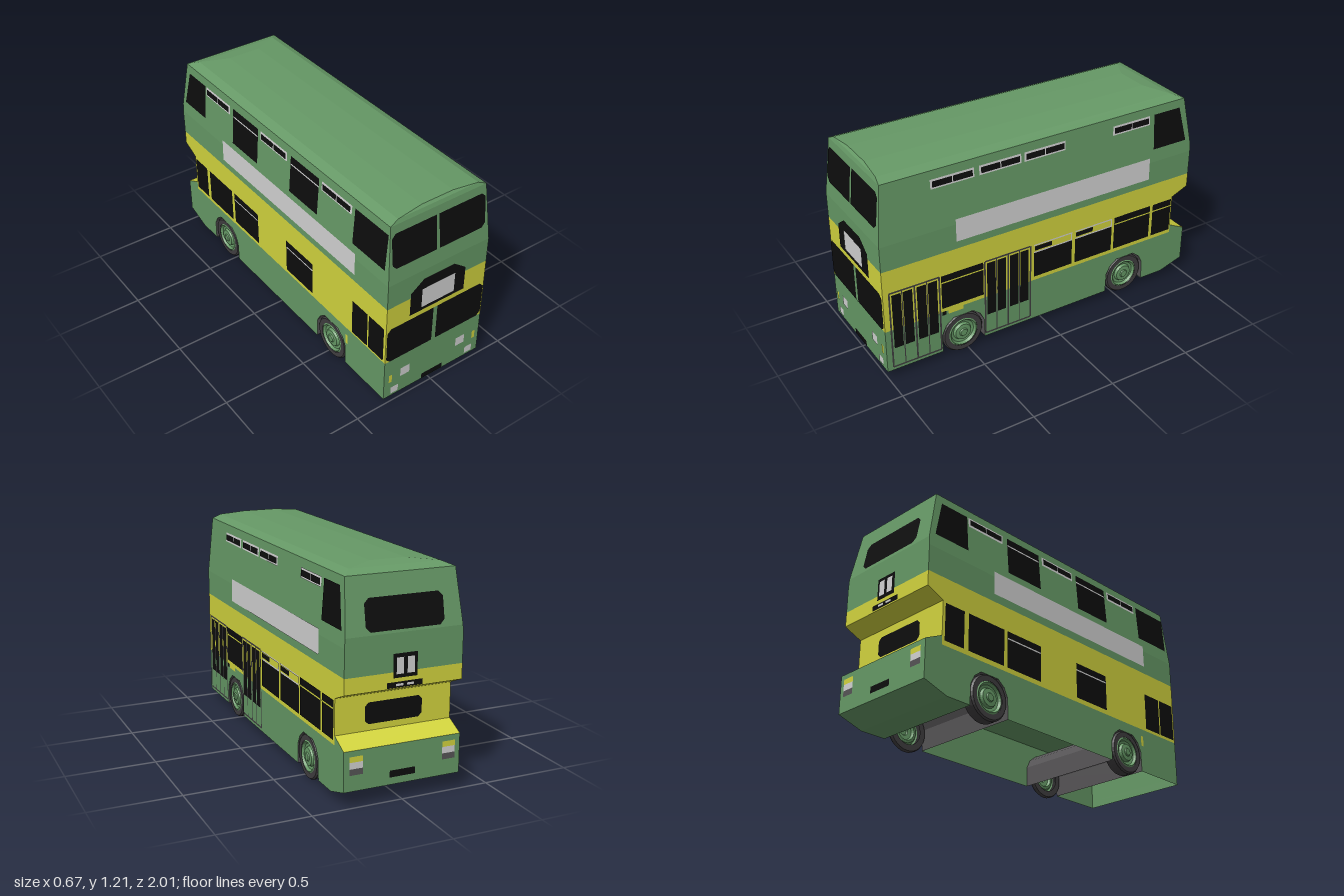
import * as THREE from 'three';

const mat = (name, color) => {
  const m = new THREE.MeshStandardMaterial({ color, side: THREE.DoubleSide });
  m.name = name;
  return m;
};

export function createModel() {
  const green = mat('body green', 0x669966), yellow = mat('band yellow', 0xd2d43e);
  const black = mat('glass black', 0x0d0d0d), white = mat('pale grey', 0xd2d2d2);
  const tyreGrey = mat('tyre grey', 0x403e40), liner = mat('arch grey', 0x565456);
  const bus = new THREE.Group();
  bus.name = 'doubleDeckerBus';

  const add = (name, geo, m, parent = bus) => {
    const mesh = new THREE.Mesh(geo, m);
    mesh.name = name;
    parent.add(mesh);
    return mesh;
  };

  // Quads as flat-shaded triangles
  const quads = (list) => {
    const p = [];
    for (const [a, b, c, d] of list) p.push(...a, ...b, ...c, ...a, ...c, ...d);
    const g = new THREE.BufferGeometry();
    g.setAttribute('position', new THREE.Float32BufferAttribute(p, 3));
    g.computeVertexNormals();
    return g;
  };

  // Horizontal rings [y, halfWidth, zFront, zRear]; faces: 0 left, 1 rear, 2 right, 3 front
  const corner = ([y, w, f, r], i) => [[w, y, f], [w, y, r], [-w, y, r], [-w, y, f]][i % 4];
  const band = (name, rings, m, faces = [0, 1, 2, 3]) => {
    const list = [];
    for (let k = 0; k < rings.length - 1; k++)
      for (const i of faces)
        list.push([corner(rings[k], i), corner(rings[k], i + 1), corner(rings[k + 1], i + 1), corner(rings[k + 1], i)]);
    return add(name, quads(list), m);
  };
  const level = (name, y, w, f, r, m) =>
    add(name, quads([[[w, y, f], [w, y, r], [-w, y, r], [-w, y, f]]]), m);

  // Body shell
  const W = 0.33;
  band('lowerEnds', [[0.042, W, 1, -0.85], [0.09, W, 1, -1], [0.305, W, 1, -1]], green, [1, 3]);
  band('rearLedge', [[0.305, W, 1, -1], [0.355, W, 1, -0.895]], yellow, [1]);
  band('yellowBand', [[0.305, W, 1, -0.895], [0.55, W, 1, -0.895], [0.595, W, 1, -1], [0.68, W, 1, -1]], yellow);
  band('upperDeck', [[0.68, W, 1, -1], [0.83, W, 1, -1], [0.88, 0.3263, 0.995, -1], [1.17, 0.305, 0.965, -0.945]], green);
  const top = [1.205, 0.1, 0.945, -0.8];
  band('roofEdge', [[1.17, 0.305, 0.965, -0.945], [1.192, 0.255, 0.957, -0.885], top], green);
  level('roof', ...top, green);
  level('floor', 0.305, W, 1, -0.895, green);
  level('rearUnderside', 0.042, W, -0.695, -0.85, green);

  // Lower side panels with wheel arch cut-outs, and liners across the width
  const axles = [0.53, -0.565];
  const arch = (z) => [[0.133, 0.042], [0.13, 0.16], [0.105, 0.21], [0.06, 0.245],
    [-0.06, 0.245], [-0.105, 0.21], [-0.13, 0.16], [-0.133, 0.042]].map(([d, y]) => [z + d, y]);
  const outline = [[1, 0.042], ...axles.flatMap(arch), [-0.85, 0.042], [-1, 0.09], [-1, 0.305], [-0.895, 0.355], [-0.895, 0.305], [1, 0.305]];
  for (const z of axles) {
    const a = arch(z);
    add('wheelArchLiner', quads(a.slice(1).map(([z1, y1], i) => {
      const [z0, y0] = a[i];
      return [[-W, y0, z0], [W, y0, z0], [W, y1, z1], [-W, y1, z1]];
    })), liner);
  }

  // Thin plates that follow the body faces; (u, y) is (x, y) on the ends and (z, y) on the sides
  const slope = (y, y0, a, b) => a + (b - a) * Math.max(0, (y - y0) / (1.17 - y0));
  const faces = {
    front: (u, y, o) => [u, y, slope(y, 0.83, 1, 0.965) + o],
    rear: (u, y, o) => [u, y, -slope(y, 0.88, 1, 0.945) - o],
    recess: (u, y, o) => [u, y, -0.895 - o],
    left: (u, y, o) => [slope(y, 0.83, W, 0.305) + o, y, u],
    right: (u, y, o) => [-slope(y, 0.83, W, 0.305) - o, y, u],
  };
  const plate = (name, face, pts, m, o = 0.003) => {
    const g = new THREE.ShapeGeometry(new THREE.Shape(pts.map((p) => new THREE.Vector2(...p))));
    const pos = g.attributes.position;
    for (let i = 0; i < pos.count; i++) pos.setXYZ(i, ...faces[face](pos.getX(i), pos.getY(i), o));
    if (face !== 'front' && face !== 'right') g.index.array.reverse();
    g.computeVertexNormals();
    return add(name, g, m);
  };
  const rect = (a, b, c, d, k = 0) => k
    ? [[a + k, c], [b - k, c], [b, c + k], [b, d - k], [b - k, d], [a + k, d], [a, d - k], [a, c + k]]
    : [[a, c], [b, c], [b, d], [a, d]];
  const box = (name, face, a, b, c, d, m, o) => plate(name, face, rect(a, b, c, d), m, o);
  for (const f of ['left', 'right']) plate('lowerSide', f, outline, green, 0);

  // Front: windscreens, destination box, lamps
  const screen = (a, b, c, d, k, s) => s < 0
    ? [[a + k, c], [b, c], [b, d], [a + k, d], [a, d - k], [a, c + k]]
    : [[a, c], [b - k, c], [b, c + k], [b, d - k], [b - k, d], [a, d]];
  plate('upperWindscreen', 'front', screen(-0.302, -0.021, 0.92, 1.124, 0.024, -1), black);
  plate('upperWindscreen', 'front', screen(-0.004, 0.298, 0.92, 1.124, 0.024, 1), black);
  plate('lowerWindscreen', 'front', screen(-0.325, -0.021, 0.308, 0.537, 0.024, -1), black);
  plate('lowerWindscreen', 'front', screen(0.005, 0.322, 0.308, 0.537, 0.024, 1), black);
  box('windscreenPillar', 'front', -0.021, 0.005, 0.305, 0.537, green);
  plate('destinationBox', 'front', [[-0.183, 0.565], [0.18, 0.565], [0.18, 0.712], [0.1, 0.773], [-0.1, 0.773], [-0.183, 0.712]], black);
  box('destinationBlind', 'front', -0.11, 0.108, 0.588, 0.71, white, 0.006);
  for (const s of [-1, 1]) {
    box('headlamp', 'front', s * 0.192 - 0.031, s * 0.192 + 0.031, 0.155, 0.212, white);
    box('fogLamp', 'front', s * 0.26 - 0.025, s * 0.26 + 0.025, 0.06, 0.105, white);
    box('indicator', 'front', s * 0.29 - 0.01, s * 0.29 + 0.01, 0.148, 0.2, yellow);
  }
  box('frontPlate', 'front', -0.072, 0.072, 0.048, 0.082, black);

  // Rear: windows, number box, lamp clusters
  plate('upperRearWindow', 'rear', rect(-0.22, 0.215, 0.895, 1.06, 0.025), black);
  box('rearNumberBox', 'rear', -0.07, 0.065, 0.65, 0.775, black);
  for (const u of [-0.033, 0.028]) box('rearNumberBlind', 'rear', u - 0.02, u + 0.02, 0.67, 0.755, white, 0.006);
  box('rearLampStrip', 'rear', -0.1, 0.1, 0.6, 0.63, black);
  for (const u of [-0.03, 0.03]) box('plateLamp', 'rear', u - 0.02, u + 0.02, 0.609, 0.621, white, 0.006);
  plate('lowerRearWindow', 'recess', rect(-0.16, 0.165, 0.39, 0.505, 0.02), black);
  for (const s of [-1, 1]) {
    const a = s * 0.263 - 0.037, b = a + 0.074;
    box('rearIndicator', 'rear', a, b, 0.245, 0.275, yellow);
    box('rearLamp', 'rear', a, b, 0.21, 0.245, white);
    box('rearReflector', 'rear', a, b, 0.177, 0.21, liner);
  }
  box('rearPlate', 'rear', -0.07, 0.075, 0.13, 0.167, black);

  // Side windows
  const barred = (f, a, b, m, y0 = 0.33, y1 = 0.54, bar = 0.497) => {
    box('sideWindow', f, a, b, y0, y1, black);
    box('windowBar', f, a, b, bar - 0.004, bar + 0.004, m, 0.005);
  };
  const vent = (f, a, b) => {
    const mid = (a + b) / 2;
    box('ventFrame', f, a, b, 1.068, 1.122, white);
    box('ventPane', f, a + 0.01, mid - 0.003, 1.078, 1.112, black, 0.006);
    box('ventPane', f, mid + 0.003, b - 0.01, 1.078, 1.112, black, 0.006);
  };
  for (const f of ['left', 'right'])
    plate('upperQuarterWindow', f, [[-0.96, 0.91], [-0.73, 0.91], [-0.73, 1.122], [-0.91, 1.122]], black);

  // Left side, with doors
  box('sidePanel', 'left', -0.705, 0.56, 0.725, 0.86, white);
  for (const [a, b] of [[0.435, 0.69], [0.15, 0.405], [-0.13, 0.13], [-0.7, -0.445]]) vent('left', a, b);
  barred('left', 0.402, 0.66, yellow);
  barred('left', -0.73, -0.472, yellow);
  barred('left', -0.885, -0.75, yellow);
  for (const b of [0.077, -0.2]) {
    const a = b - 0.255;
    box('sideWindow', 'left', a, b, 0.33, 0.487, black);
    box('ventPane', 'left', b - 0.12, b - 0.005, 0.502, 0.53, black);
    box('ventRail', 'left', a, b, 0.487, 0.495, white);
    box('ventRail', 'left', a, b, 0.533, 0.541, white);
    box('ventEnd', 'left', a, a + 0.008, 0.487, 0.541, white);
  }
  for (const b of [0.965, 0.392]) {
    const a = b - 0.293, t = 0.01, leaf = 0.293 / 4;
    for (let i = 0; i < 5; i++) {
      const z = a + i * leaf, w = i % 2 ? 0.003 : t / 2;
      box('doorUpright', 'left', z - w, z + w, 0.065, 0.54, tyreGrey);
      if (i < 4) box('doorWindow', 'left', z + (i % 2 ? 0.006 : 0.013), z + leaf - (i % 2 ? 0.013 : 0.006), 0.185, 0.525, black);
    }
    for (const y of [0.065, 0.54]) box('doorRail', 'left', a, b, y - t / 2, y + t / 2, tyreGrey);
  }
  box('doorControl', 'left', 0.635, 0.66, 0.285, 0.31, black);
  box('sideIndicator', 'left', 0.53, 0.622, 0.285, 0.31, yellow);

  // Right side
  box('sidePanel', 'right', -0.54, 0.73, 0.725, 0.86, white);
  for (const [a, b] of [[-0.72, -0.465], [-0.15, 0.105], [0.42, 0.675]]) vent('right', a, b);
  for (const a of [-0.43, 0.14]) barred('right', a, a + 0.255, white, 0.9, 1.122, 1.075);
  box('upperFrontWindow', 'right', 0.7, 0.962, 0.91, 1.122, black);
  box('sideWindow', 'right', -0.88, -0.75, 0.33, 0.54, black);
  box('sideWindow', 'right', -0.72, -0.465, 0.33, 0.54, black);
  barred('right', -0.44, -0.185, white);
  barred('right', 0.105, 0.36, white);
  box('cabWindow', 'right', 0.72, 0.85, 0.32, 0.54, black);
  box('cabWindow', 'right', 0.86, 0.985, 0.32, 0.54, black);
  box('sideIndicator', 'right', 0.665, 0.685, 0.2, 0.26, yellow);

  // Wheels: lathed about their axle, outer face pointing outwards
  const lathe = (pts) => new THREE.LatheGeometry(pts.map((p) => new THREE.Vector2(...p)), 32).toNonIndexed();
  const flat = (g) => (g.computeVertexNormals(), g);
  const rim = flat(lathe([[0.088, -0.003], [0.08, 0.002], [0.07, -0.012], [0.055, -0.015], [0.048, 0], [0.025, 0.002], [0.02, 0.008], [0, 0.008]]));
  for (const s of [1, -1]) {
    const depth = s > 0 ? 0.03 : 0.07;
    const tyre = flat(lathe([[0.085, -depth], [0.12, -depth], [0.125, -depth + 0.008], [0.125, -0.01], [0.117, 0], [0.088, -0.001]]));
    for (const z of axles) {
      const wheel = new THREE.Group();
      wheel.name = 'wheel';
      wheel.position.set(s * 0.329, 0.125, z + 0.003);
      wheel.rotation.z = -s * Math.PI / 2;
      add('tyre', tyre, tyreGrey, wheel);
      add('rim', rim, green, wheel);
      bus.add(wheel);
    }
  }
  return bus;
}
